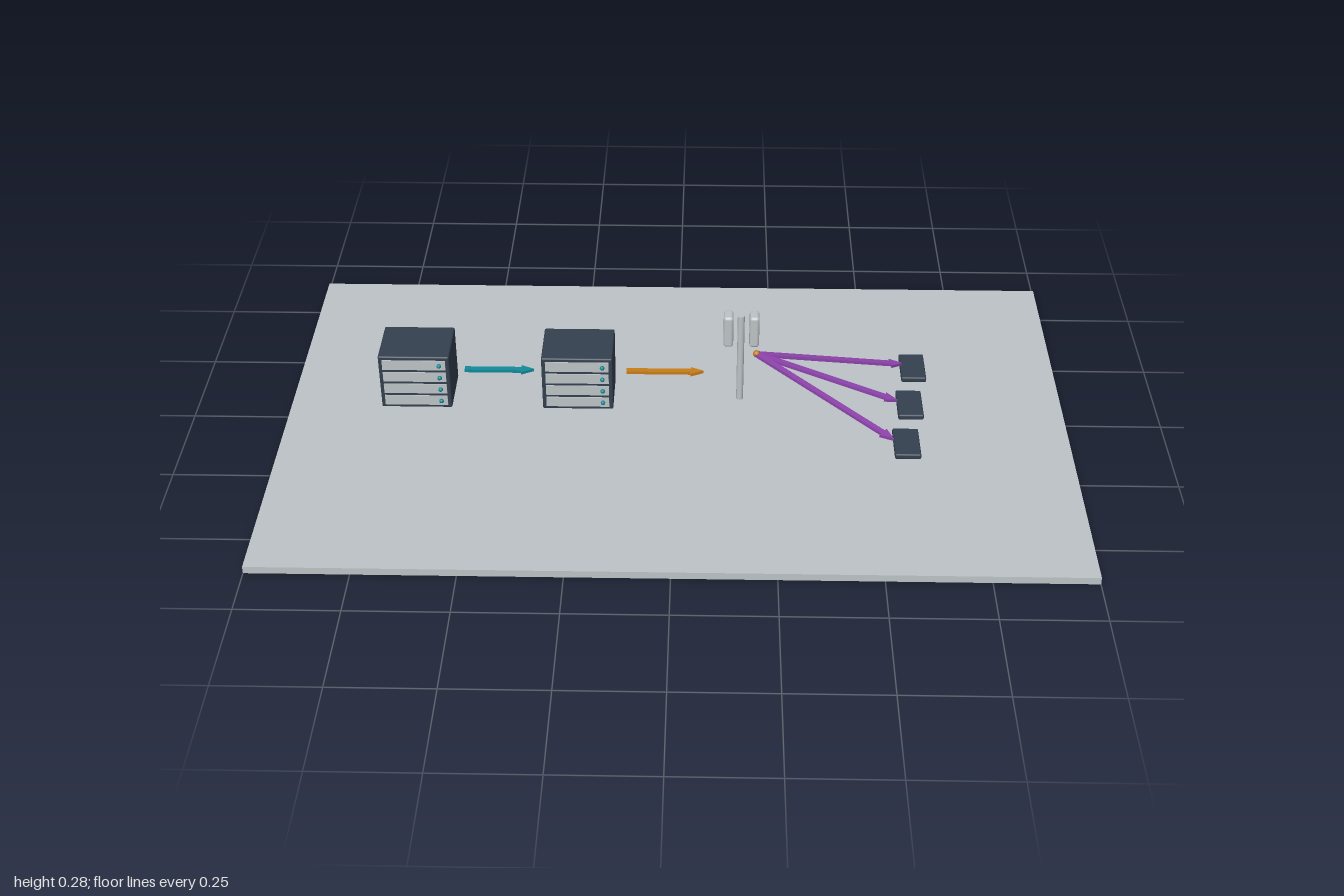
import * as THREE from 'three';
import { RoundedBoxGeometry } from 'three/addons/geometries/RoundedBoxGeometry.js';

const mat = (name, color) => {
  const m = new THREE.MeshStandardMaterial({ color });
  m.name = name;
  return m;
};

export function createModel() {
  const silver = mat('silver', 0xbdc3c7);
  const navy = mat('navy', 0x34404f);
  const teal = mat('teal', 0x128a9a);
  const orange = mat('orange', 0xc77d18);
  const purple = mat('purple', 0x8e44ad);

  const model = new THREE.Group();
  const Z = -0.083; // line the chain of devices stands on

  const add = (name, geometry, material, x, y, z, parent = model) => {
    const mesh = new THREE.Mesh(geometry, material);
    mesh.name = name;
    mesh.position.set(x, y, z);
    parent.add(mesh);
    return mesh;
  };

  // Flat arrow lying as level as its direction allows
  const arrow = (name, material, from, to) => {
    const a = new THREE.Vector3(...from);
    const dir = new THREE.Vector3(...to).sub(a);
    const len = dir.length(), neck = len - 0.033, w = 0.008, h = 0.016;
    dir.normalize();
    const shape = new THREE.Shape([
      [0, -w], [neck, -w], [neck, -h], [len, 0], [neck, h], [neck, w], [0, w],
    ].map(([x, y]) => new THREE.Vector2(x, y)));
    const geometry = new THREE.ExtrudeGeometry(shape, { depth: 0.008, bevelEnabled: false });
    geometry.translate(0, 0, -0.004);
    const side = new THREE.Vector3(0, 1, 0).cross(dir).normalize();
    const up = dir.clone().cross(side);
    const mesh = add(name, geometry, material, ...from);
    mesh.quaternion.setFromRotationMatrix(new THREE.Matrix4().makeBasis(dir, side, up));
  };

  // Ground slab
  add('base', new THREE.BoxGeometry(2, 0.019, 1.246), silver, 0, 0.0095, 0);

  // Server cabinets with four drawers and status lights
  for (const x of [-0.67, -0.253]) {
    const server = new THREE.Group();
    server.name = 'server';
    server.position.set(x, 0.106, Z);
    model.add(server);
    add('cabinet', new RoundedBoxGeometry(0.182, 0.156, 0.142, 2, 0.004), navy, 0, 0, 0, server);
    for (let i = 0; i < 4; i++) {
      const y = (i - 1.5) * 0.036;
      add('drawer', new THREE.BoxGeometry(0.162, 0.028, 0.008), silver, 0, y, 0.07, server);
      add('statusLight', new THREE.SphereGeometry(0.006, 12, 8), teal, 0.065, y, 0.076, server);
    }
  }

  // Links between the devices
  arrow('firstLink', teal, [-0.55, 0.1, Z], [-0.37, 0.1, Z]);
  arrow('secondLink', orange, [-0.13, 0.1, Z], [0.07, 0.1, Z]);

  // Antenna mast with a panel on each side
  add('mast', new THREE.CylinderGeometry(0.009, 0.009, 0.256, 20), silver, 0.165, 0.147, Z);
  for (const s of [-1, 1]) {
    add('antennaPanel', new RoundedBoxGeometry(0.025, 0.09, 0.042, 3, 0.008), silver,
      0.166 + s * 0.033, 0.235, Z);
  }
  add('transmitter', new THREE.SphereGeometry(0.009, 16, 12), orange, 0.206, 0.159, Z);

  // Handsets, each with its own radio beam
  const handsets = [[0.62, -0.17, 0.592], [0.6, -0.002, 0.568], [0.58, 0.165, 0.547]];
  for (const [x, z, tip] of handsets) {
    add('handset', new RoundedBoxGeometry(0.065, 0.015, 0.112, 2, 0.004), navy, x, 0.06, z);
    arrow('beam', purple, [0.206, 0.158, Z], [tip, 0.072, z]);
  }

  return model;
}
